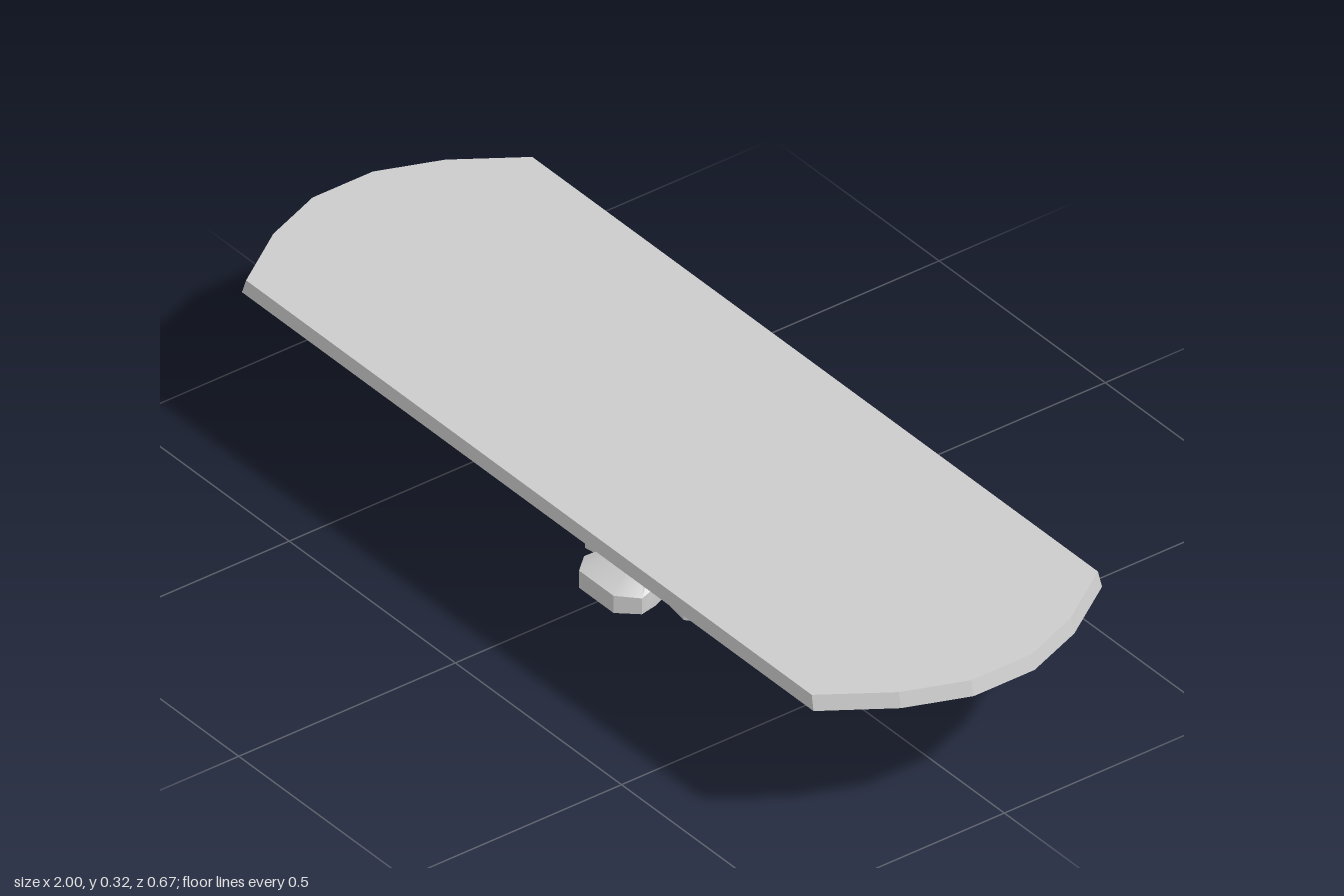
import * as THREE from 'three';
import { toCreasedNormals } from 'three/addons/utils/BufferGeometryUtils.js';

const material = new THREE.MeshStandardMaterial({ color: 0xcccccc });

// Skin a stack of equal-length rings (bottom to top) and cap both ends.
function loft(rings, bottomY, topY, crease) {
  const n = rings[0].length;
  const pos = rings.flat(2);
  const index = [];
  for (let k = 0; k < rings.length - 1; k++) {
    for (let i = 0; i < n; i++) {
      const a = k * n + i, b = k * n + (i + 1) % n;
      index.push(a, a + n, b, b, a + n, b + n);
    }
  }
  const last = (rings.length - 1) * n, low = rings.length * n, high = low + 1;
  pos.push(0, bottomY, 0, 0, topY, 0);
  for (let i = 0; i < n; i++) {
    const j = (i + 1) % n;
    index.push(low, i, j, high, last + j, last + i);
  }
  const g = new THREE.BufferGeometry();
  g.setAttribute('position', new THREE.Float32BufferAttribute(pos, 3));
  g.setIndex(index);
  return toCreasedNormals(g, crease);
}

function part(name, geometry) {
  const mesh = new THREE.Mesh(geometry, material);
  mesh.name = name;
  return mesh;
}

// Table outline: straight long sides, faceted bowed ends.
function tableRing(y, inset) {
  const end = [[1, -0.07], [1, 0.07], [0.95, 0.2], [0.86, 0.333]];
  const right = [[0.86, -0.333], [0.95, -0.2], ...end];
  const all = [...right, ...right.map(([x, z]) => [-x, -z])];
  return all.map(([x, z]) => [x - Math.sign(x) * inset, y, z * (1 - inset * 0.9)]);
}

// One petal of the foot: x out from the centre, z across, top edge height.
const petal = [
  [0.066, -0.066, 0.055], [0.1, -0.08, 0.044], [0.148, -0.087, 0.039],
  [0.19, -0.052, 0.042], [0.19, 0.052, 0.042], [0.148, 0.087, 0.039], [0.1, 0.08, 0.044],
];

// Four petals around the centre, a little shallower in z.
function footRing(top) {
  const ring = [];
  for (let q = 0; q < 4; q++) {
    const c = Math.round(Math.cos(q * Math.PI / 2)), s = Math.round(Math.sin(q * Math.PI / 2));
    for (const [u, v, h] of petal) {
      const x = u * c - v * s, z = u * s + v * c;
      const reach = q % 2 ? 0.92 : 1;
      ring.push([x, top ? h : 0.004, Math.abs(z) > 0.14 ? z * reach : z]);
    }
  }
  return ring;
}

// Oval ring of the pedestal, with points matching the foot ring.
function ovalRing(rx, rz, y) {
  return Array.from({ length: 28 }, (_, i) => {
    const a = -Math.PI / 4 + i * Math.PI / 14;
    return [rx * Math.cos(a), y, rz * Math.sin(a)];
  });
}

export function createModel() {
  const model = new THREE.Group();
  model.name = 'table';

  // Top board
  model.add(part('tableTop', loft([tableRing(0.288, 0), tableRing(0.318, 0.009)], 0.288, 0.318, 0.2)));

  // Square neck under the board
  const neck = part('neck', new THREE.BoxGeometry(0.11, 0.04, 0.126));
  neck.position.y = 0.27;
  model.add(neck);

  // Pedestal: petalled foot, waist, barrel and shoulder
  model.add(part('pedestal', loft([
    footRing(false),
    footRing(true),
    ovalRing(0.07, 0.08, 0.085),
    ovalRing(0.092, 0.106, 0.115),
    ovalRing(0.092, 0.106, 0.21),
    ovalRing(0.056, 0.064, 0.256),
  ], 0, 0.256, 0.6)));

  return model;
}
